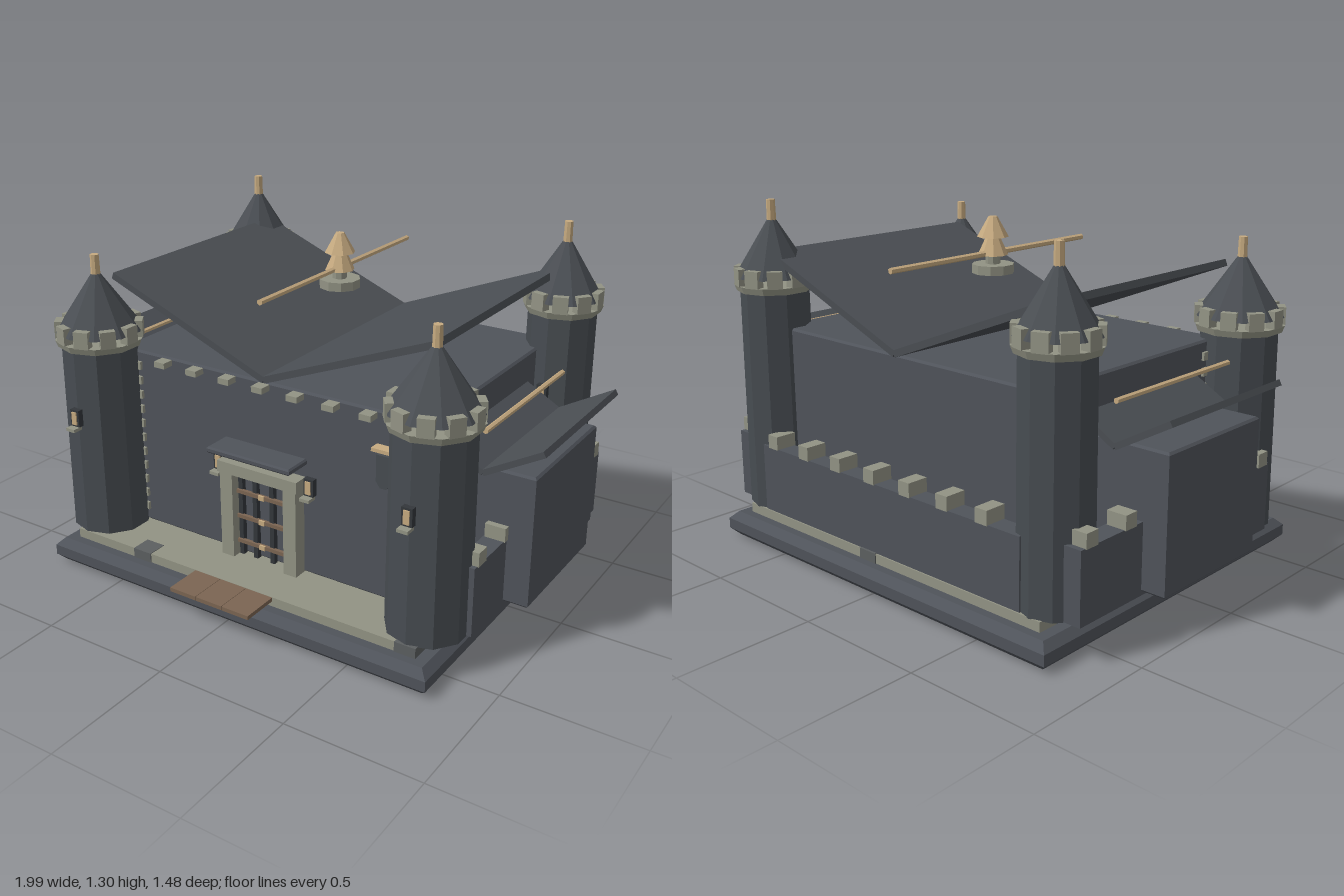
import * as THREE from 'three';

const mat = (name, color, flatShading = true) => {
  const m = new THREE.MeshStandardMaterial({ color });
  m.name = name;
  m.flatShading = flatShading;
  return m;
};

export function createModel() {
  const root = new THREE.Group();
  root.name = 'castle';
  const slate = mat('slate wall', 0x4f535a);
  const tower = mat('tower slate', 0x474c51);
  const roof = mat('roof slate', 0x4a4e53);
  const stone = mat('pale stone', 0x929384);
  const darkStone = mat('dark stone', 0x5c5f60);
  const tan = mat('tan trim', 0xc6aa80);
  const wood = mat('brown wood', 0x7b6552);
  const iron = mat('dark iron', 0x33373b);

  const add = (name, geo, material, x = 0, y = 0, z = 0, parent = root) => {
    const m = new THREE.Mesh(geo, material);
    m.name = name;
    m.position.set(x, y, z);
    parent.add(m);
    return m;
  };
  // box given by its minimum and maximum on each axis
  const box = (name, material, x0, x1, y0, y1, z0, z1, parent = root) =>
    add(name, new THREE.BoxGeometry(x1 - x0, y1 - y0, z1 - z0), material,
      (x0 + x1) / 2, (y0 + y1) / 2, (z0 + z1) / 2, parent);
  // chamfered slab, bevelled on every edge
  const slab = (name, material, x0, x1, y0, y1, z0, z1, b) => {
    const w = (x1 - x0) / 2 - b, d = (z1 - z0) / 2 - b;
    const s = new THREE.Shape([[-w, -d], [w, -d], [w, d], [-w, d]].map(p => new THREE.Vector2(...p)));
    const g = new THREE.ExtrudeGeometry(s, {
      depth: y1 - y0 - 2 * b, bevelEnabled: true, bevelThickness: b, bevelSize: b, bevelSegments: 1,
    });
    g.rotateX(-Math.PI / 2);
    return add(name, g, material, (x0 + x1) / 2, y0 + b, (z0 + z1) / 2);
  };

  // ground slab and plinth
  slab('base', slate, -0.81, 0.81, 0, 0.096, -0.74, 0.655, 0.028);
  box('plinth', stone, -0.74, 0.74, 0.09, 0.132, -0.68, 0.593);
  for (const x of [-0.42, 0.7]) box('plinthBlock', darkStone, x - 0.04, x + 0.04, 0.096, 0.134, 0.52, 0.597);
  box('plinthBlock', darkStone, 0.02, 0.1, 0.096, 0.134, -0.684, -0.62);
  for (const s of [-1, 1])
    box('plinthBlock', darkStone, s * 0.71 - 0.034, s * 0.71 + 0.034, 0.096, 0.134, -0.355, -0.29);

  // main hall with corner stones and corbels
  slab('hall', slate, -0.65, 0.65, 0.13, 0.832, -0.575, 0.385, 0.008);
  for (const s of [-1, 1]) {
    for (let i = 0; i < 11; i++) {
      const y = 0.18 + i * 0.058;
      const q = box('cornerStone', stone, 0.555, 0.66, y, y + 0.03, 0.29, 0.397);
      q.position.x *= s;
    }
  }
  for (let i = -3; i <= 3; i++) {
    const x = i * 0.145;
    box('corbel', stone, x - 0.023, x + 0.023, 0.803, 0.825, 0.38, 0.43);
  }

  // valley roof made of two slabs meeting at the low centre line
  const valley = (name, cx, y, half, rise, thick, z0, z1) => {
    for (const s of [-1, 1]) {
      const m = add(name, new THREE.BoxGeometry(Math.hypot(half, rise), thick, z1 - z0), roof,
        cx + s * half / 2, y + rise / 2, (z0 + z1) / 2);
      m.rotation.z = s * Math.atan2(rise, half);
    }
  };
  const pole = (name, x, y, z0, z1, r) => {
    const m = add(name, new THREE.CylinderGeometry(r, r, z1 - z0, 6), tan, x, y, (z0 + z1) / 2);
    m.rotation.x = Math.PI / 2;
  };
  valley('mainRoof', 0, 0.838, 0.67, 0.265, 0.025, -0.59, 0.39);
  pole('ridgePole', 0, 1.122, -0.595, 0.4, 0.011);

  // roof ornament
  const cone = (name, material, r0, r1, y0, y1, x, z, n, parent = root) =>
    add(name, new THREE.CylinderGeometry(r1, r0, y1 - y0, n), material, x, (y0 + y1) / 2, z, parent);
  cone('ornamentBase', stone, 0.077, 0.077, 1.05, 1.083, 0, -0.1, 10);
  cone('ornamentNeck', stone, 0.027, 0.027, 1.083, 1.12, 0, -0.1, 8);
  cone('ornamentLower', tan, 0.055, 0.025, 1.115, 1.18, 0, -0.1, 8);
  cone('ornamentUpper', tan, 0.057, 0.016, 1.18, 1.253, 0, -0.1, 8);

  // lantern with a bracket, placed on a wall facing +z
  const lantern = (x, y, z) => {
    const g = new THREE.Group();
    g.name = 'lantern';
    g.position.set(x, y, z);
    root.add(g);
    box('lanternBody', iron, -0.02, 0.02, -0.03, 0.035, -0.01, 0.012, g);
    box('lanternLight', tan, -0.011, 0.011, -0.022, 0.027, 0.01, 0.017, g);
    box('lanternBracket', stone, -0.02, 0.02, -0.042, -0.03, 0, 0.04, g);
  };

  // corner towers: shaft, collar, ring of merlons, cone, finial
  const makeTower = (name, x, z, r, top, lanternY) => {
    const g = new THREE.Group();
    g.name = name;
    root.add(g);
    cone('towerShaft', tower, r, r * 0.97, 0.13, top, x, z, 10, g);
    cone('towerCollar', stone, r + 0.008, r + 0.018, top - 0.002, top + 0.024, x, z, 10, g);
    for (let i = 0; i < 10; i++) {
      const a = (i + 0.5) * Math.PI / 5;
      const m = add('towerMerlon', new THREE.BoxGeometry(0.056, 0.064, 0.035), stone,
        x + Math.sin(a) * r * 0.97, top + 0.054, z + Math.cos(a) * r * 0.97, g);
      m.rotation.y = a;
    }
    cone('towerRoof', roof, r + 0.014, 0, top + 0.052, top + 0.285, x, z, 10, g);
    cone('towerFinial', tan, 0.018, 0.016, top + 0.24, top + 0.332, x, z, 8, g);
    lantern(x, lanternY, z + r + 0.004);
  };

  for (const s of [-1, 1]) {
    makeTower('frontTower', s * 0.7, 0.445, 0.147, 0.86, 0.605);
    makeTower('backTower', s * 0.695, -0.552, 0.131, 0.964, 0.67);

    // side wing with its own valley roof
    slab('sideWing', slate, s * 0.775 - 0.175, s * 0.775 + 0.175, 0.145, 0.637, -0.32, 0.198, 0.008);
    valley('wingRoof', s * 0.78, 0.634, 0.212, 0.12, 0.022, -0.378, 0.25);
    pole('wingPole', s * 0.783, 0.785, -0.378, 0.25, 0.01);

    // low side rampart
    box('sideRampart', slate, s * 0.82 - 0.038, s * 0.82 + 0.038, 0.132, 0.388, -0.63, 0.434);
    for (let i = 0; i < 6; i++) {
      const z = 0.388 - i * 0.194;
      box('rampartMerlon', stone, s * 0.825 - 0.038, s * 0.825 + 0.038, 0.386, 0.438, z - 0.028, z + 0.028);
    }
  }

  // back rampart
  box('backRampart', slate, -0.65, 0.65, 0.132, 0.388, -0.675, -0.6);
  for (let i = 0; i < 7; i++) {
    const x = -0.49 + i * 0.179;
    box('rampartMerlon', stone, x - 0.026, x + 0.026, 0.386, 0.438, -0.68, -0.597);
  }

  // gateway: posts, lintel, canopy and grille
  for (const s of [-1, 1]) {
    box('gatePost', stone, s * 0.138 - 0.027, s * 0.138 + 0.027, 0.13, 0.48, 0.37, 0.44);
    lantern(s * 0.197, 0.482, 0.395);
  }
  box('gateLintel', stone, -0.172, 0.172, 0.468, 0.512, 0.37, 0.445);
  slab('gateCanopy', slate, -0.178, 0.178, 0.558, 0.582, 0.38, 0.495, 0.006);
  for (const x of [-0.1, -0.037, 0.037, 0.1])
    box('grilleBar', iron, x - 0.009, x + 0.009, 0.132, 0.47, 0.385, 0.405);
  for (const y of [0.19, 0.292, 0.392])
    box('grilleRail', wood, -0.112, 0.112, y - 0.007, y + 0.007, 0.4, 0.414);
  for (const y of [0.19, 0.292, 0.392])
    box('grilleStud', tan, -0.012, 0.012, y - 0.009, y + 0.009, 0.41, 0.418);

  // plank bridge in front of the gate
  for (let i = 0; i < 3; i++) {
    const x = -0.17 + i * 0.1135;
    box('bridgePlank', wood, x, x + 0.112, 0.116, 0.131, 0.585, 0.735);
  }

  // hanging banner on the front wall
  const banner = new THREE.Shape([[-0.028, 0.12], [-0.028, 0.022], [-0.012, 0], [0.012, 0], [0.028, 0.022], [0.028, 0.12]]
    .map(p => new THREE.Vector2(...p)));
  add('banner', new THREE.ExtrudeGeometry(banner, { depth: 0.01, bevelEnabled: false }), tower, 0.498, 0.565, 0.4);
  box('bannerRod', tan, 0.458, 0.538, 0.7, 0.713, 0.385, 0.425);
  return root;
}
